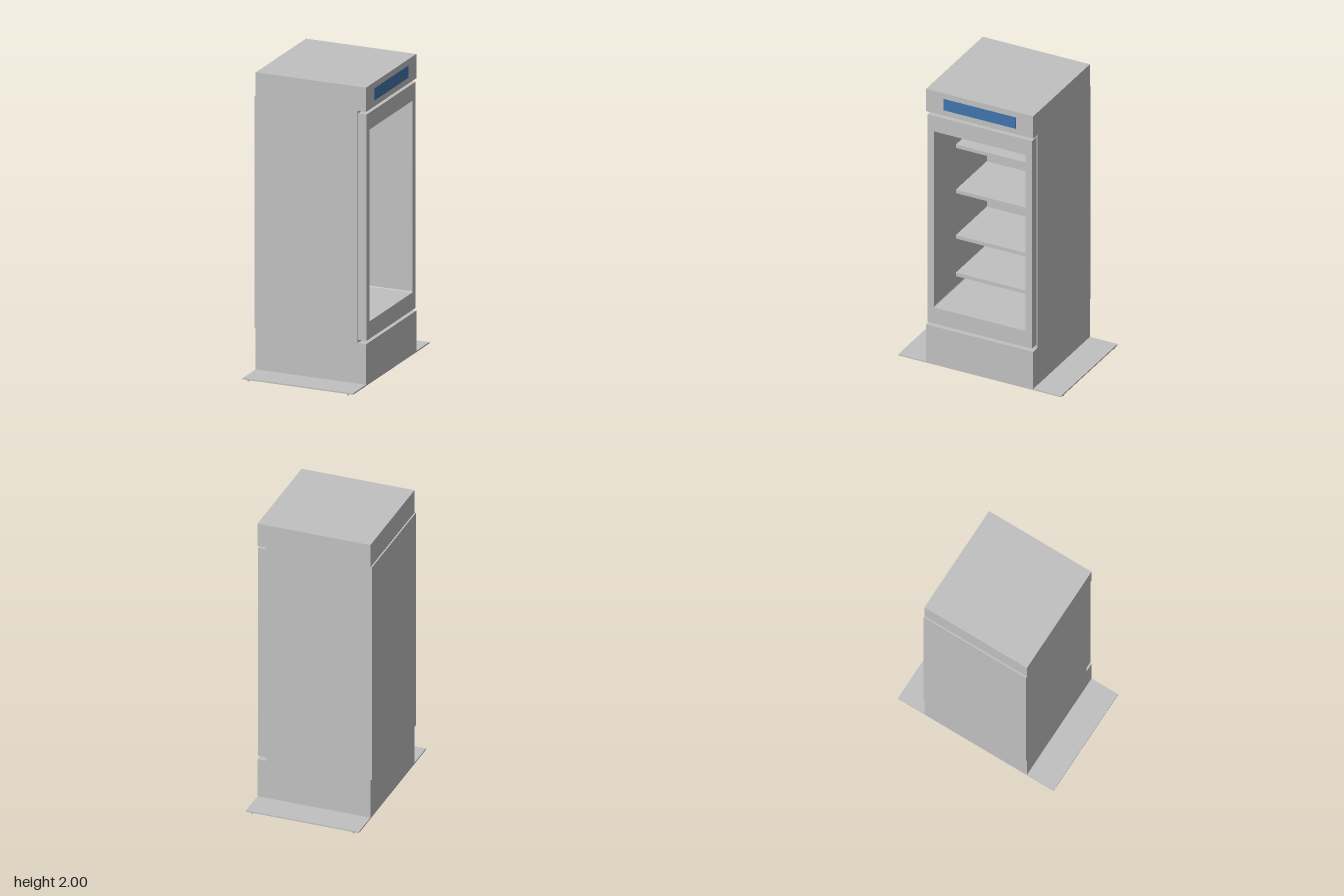
import * as THREE from 'three';

export function createModel() {
  const group = new THREE.Group();
  const grey = new THREE.MeshStandardMaterial({ name: 'grey cabinet', color: 0xc0c0c0 });
  const blue = new THREE.MeshStandardMaterial({ name: 'blue panel', color: 0x4074ab });

  function add(name, geometry, material = grey) {
    const mesh = new THREE.Mesh(geometry, material);
    mesh.name = name;
    group.add(mesh);
    return mesh;
  }

  // Box given by its limits on each axis
  function box(name, [x0, x1], [y0, y1], [z0, z1], material) {
    const mesh = add(name, new THREE.BoxGeometry(x1 - x0, y1 - y0, z1 - z0), material);
    mesh.position.set((x0 + x1) / 2, (y0 + y1) / 2, (z0 + z1) / 2);
  }

  // Path of a rectangle with slightly rounded corners
  function roundedRect(path, halfW, y0, y1, r) {
    path.moveTo(-halfW + r, y0);
    path.lineTo(halfW - r, y0);
    path.quadraticCurveTo(halfW, y0, halfW, y0 + r);
    path.lineTo(halfW, y1 - r);
    path.quadraticCurveTo(halfW, y1, halfW - r, y1);
    path.lineTo(-halfW + r, y1);
    path.quadraticCurveTo(-halfW, y1, -halfW, y1 - r);
    path.lineTo(-halfW, y0 + r);
    path.quadraticCurveTo(-halfW, y0, -halfW + r, y0);
    return path;
  }

  // Frame around the window opening, extruded towards the front (+x)
  function frame(name, halfW, y0, y1, x0, x1) {
    const shape = new THREE.Shape([
      new THREE.Vector2(-halfW, y0), new THREE.Vector2(halfW, y0),
      new THREE.Vector2(halfW, y1), new THREE.Vector2(-halfW, y1),
    ]);
    shape.holes.push(roundedRect(new THREE.Path(), 0.33, 0.425, 1.705, 0.008));
    const geometry = new THREE.ExtrudeGeometry(shape, {
      depth: x1 - x0, bevelEnabled: false, curveSegments: 4,
    });
    geometry.rotateY(Math.PI / 2).translate(x0, 0, 0);
    add(name, geometry);
  }

  const side = [-0.385, 0.385];

  // Cabinet: plinth, hollow middle and header
  box('plinth', [-0.38, 0.39], [0.018, 0.287], side);
  frame('cabinetShell', 0.385, 0.287, 1.838, -0.33, 0.33);
  box('cabinetBack', [-0.38, -0.33], [0.287, 1.838], side);
  box('header', [-0.38, 0.39], [1.838, 2], side);
  box('rearPanel', [-0.39, -0.38], [0.292, 1.838], side);

  // Door frame, set between plinth and header with a small gap
  frame('door', 0.376, 0.308, 1.818, 0.33, 0.39);

  // Shelves
  for (const y of [0.505, 0.778, 1.108, 1.437]) {
    box('shelf', [-0.33, 0.09], [y, y + 0.025], [-0.33, 0.33]);
  }

  // Sign on the header
  box('signPanel', [0.389, 0.392], [1.878, 1.96], [-0.26, 0.26], blue);

  // Base plate with small feet at the corners
  box('basePlate', [-0.38, 0.39], [0.009, 0.018], [-0.585, 0.585]);
  for (const x of [-0.342, 0.352]) {
    for (const z of [-0.577, 0.577]) {
      const foot = add('foot', new THREE.CylinderGeometry(0.007, 0.007, 0.01, 12));
      foot.position.set(x, 0.005, z);
    }
  }
  return group;
}
